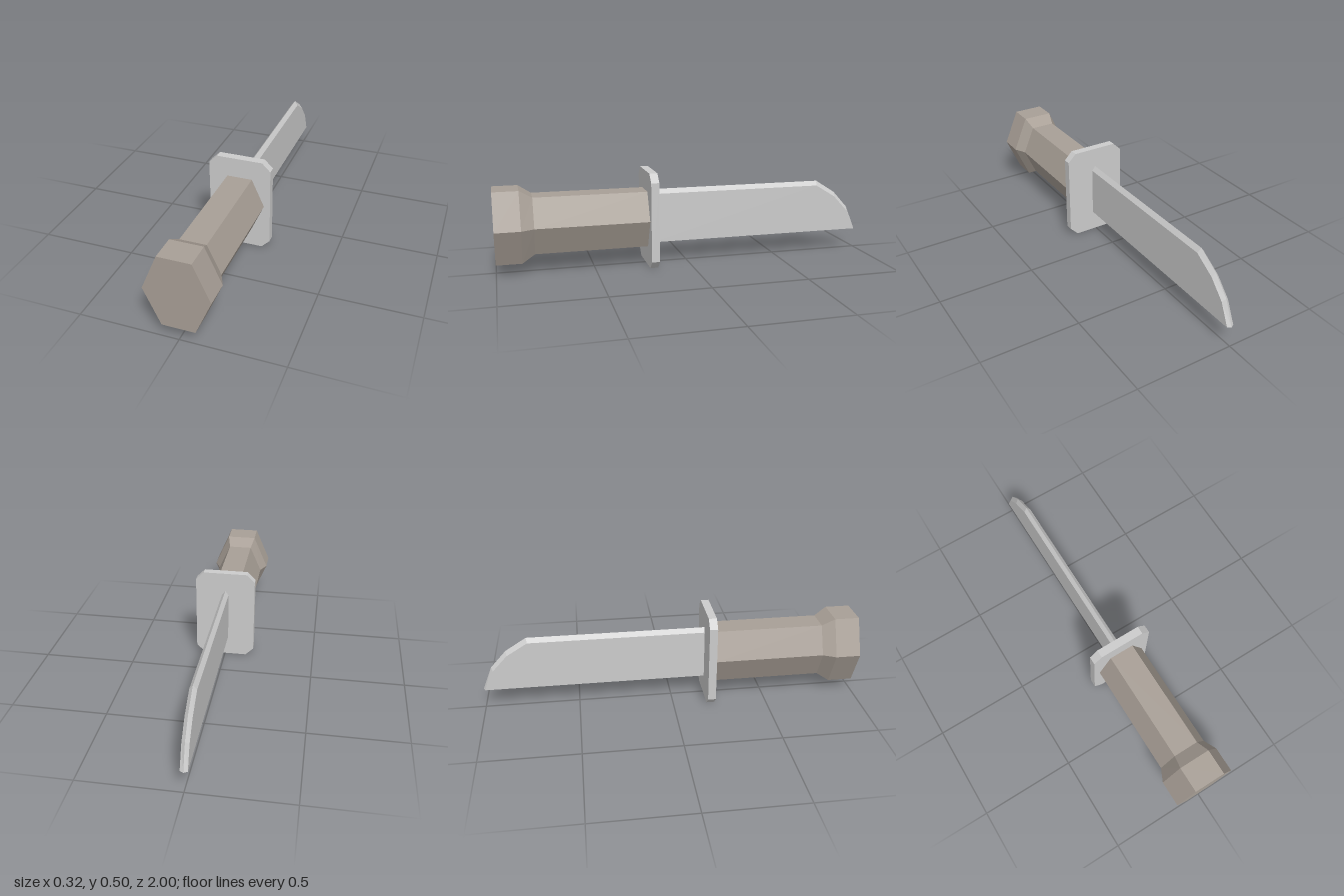
import * as THREE from 'three';

const steel = new THREE.MeshStandardMaterial({ color: 0xcccccc, flatShading: true });
const grip = new THREE.MeshStandardMaterial({ color: 0xa89f96, flatShading: true });

// Skins a row of rings running from +z to -z; each ring is counter-clockwise seen from +z.
function loft(name, rings, material) {
  const pos = [];
  const tri = (...points) => points.forEach((p) => pos.push(...p));
  const n = rings[0].length;
  for (let s = 0; s < rings.length - 1; s++) {
    for (let i = 0; i < n; i++) {
      const j = (i + 1) % n;
      const a = rings[s][i], b = rings[s][j], c = rings[s + 1][j], d = rings[s + 1][i];
      tri(a, d, c);
      tri(a, c, b);
    }
  }
  const first = rings[0], last = rings[rings.length - 1];
  for (let i = 1; i < n - 1; i++) {
    tri(first[0], first[i], first[i + 1]);
    tri(last[0], last[i + 1], last[i]);
  }
  const geometry = new THREE.BufferGeometry();
  geometry.setAttribute('position', new THREE.Float32BufferAttribute(pos, 3));
  geometry.computeVertexNormals();
  const mesh = new THREE.Mesh(geometry, material);
  mesh.name = name;
  return mesh;
}

const MID = 0.25; // height of the handle axis

// Six-sided ring with half width w and half height h
const hexRing = (z, w, h) =>
  [[1, 0], [0.5, 1], [-0.5, 1], [-1, 0], [-0.5, -1], [0.5, -1]].map(([x, y]) => [x * w, MID + y * h, z]);

// Rectangular ring with cut corners
function guardRing(z) {
  const w = 0.162, h = 0.25, c = 0.043;
  return [[w, c - h], [w, h - c], [w - c, h], [c - w, h], [-w, h - c], [-w, c - h], [c - w, -h], [w - c, -h]]
    .map(([x, y]) => [x, MID + y, z]);
}

// Blade section: flat edge below, straight sides, bevelled ridge on top
function bladeRing([sideZ, sideY, ridgeZ, ridgeY]) {
  const w = 0.018, bottom = 0.11;
  return [[w, bottom, sideZ], [w, sideY, sideZ], [0, ridgeY, ridgeZ], [-w, sideY, sideZ], [-w, bottom, sideZ]];
}

export function createModel() {
  const model = new THREE.Group();
  model.name = 'knife';

  // Handle with flared pommel
  model.add(loft('handle', [
    hexRing(1, 0.162, 0.186),
    hexRing(0.87, 0.162, 0.186),
    hexRing(0.805, 0.13, 0.146),
    hexRing(0.22, 0.13, 0.146),
  ], grip));

  // Cross guard
  model.add(loft('guard', [guardRing(0.222), guardRing(0.18)], steel));

  // Blade, curving down to the tip
  model.add(loft('blade', [
    [0.18, 0.372, 0.18, 0.396],
    [-0.75, 0.372, -0.755, 0.396],
    [-0.86, 0.305, -0.865, 0.327],
    [-0.94, 0.22, -0.948, 0.236],
    [-0.99, 0.11, -1, 0.11],
  ].map(bladeRing), steel));

  return model;
}
